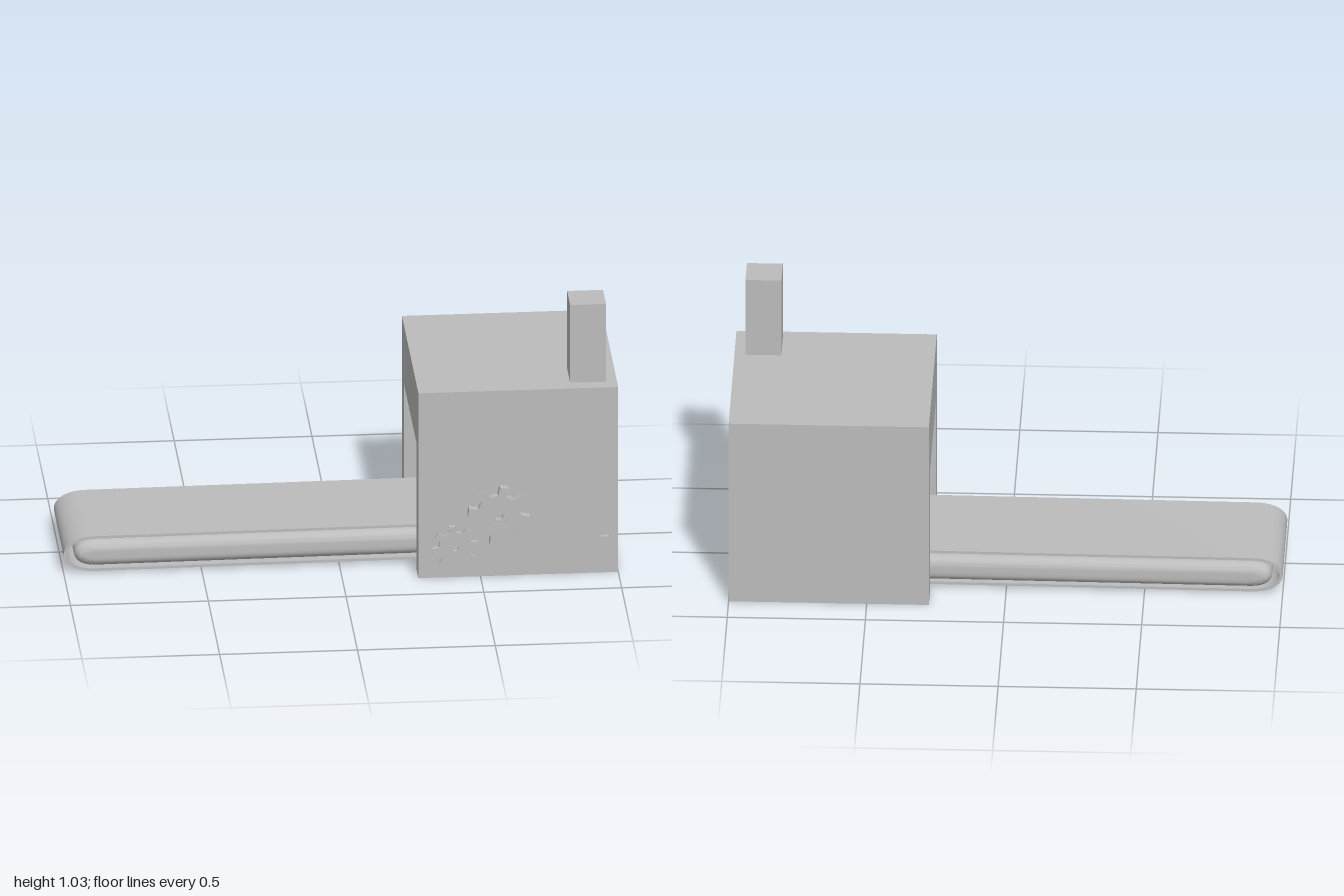
import * as THREE from 'three';
import { toCreasedNormals } from 'three/addons/utils/BufferGeometryUtils.js';

const grey = new THREE.MeshStandardMaterial({ color: 0xbcbcbc });
grey.name = 'plain grey';

function add(parent, name, geometry, x = 0, y = 0, z = 0) {
  const mesh = new THREE.Mesh(geometry, grey);
  mesh.name = name;
  mesh.position.set(x, y, z);
  parent.add(mesh);
  return mesh;
}

// box given by its lower and upper corners
function block(parent, name, a, b) {
  const size = a.map((v, i) => b[i] - v);
  const mid = a.map((v, i) => (b[i] + v) / 2);
  return add(parent, name, new THREE.BoxGeometry(...size), ...mid);
}

// long loop with elliptical ends, rising slightly towards the machine
function loopPoints(x0, x1, half, endLength) {
  const points = [];
  const n = 20;
  const tilt = x => 0.079 + 0.006 * x;
  for (let i = 0; i <= n; i++) {
    const t = Math.PI / 2 + Math.PI * i / n;
    const c = Math.abs(Math.cos(t)) ** 0.85;
    const x = x0 + endLength * (1 - c);
    points.push(new THREE.Vector2(x, tilt(x) + half * Math.sin(t)));
  }
  for (let i = 0; i <= n; i++) {
    const t = -Math.PI / 2 + Math.PI * i / n;
    const x = x1 - endLength * (1 - Math.abs(Math.cos(t)) ** 0.85);
    points.push(new THREE.Vector2(x, tilt(x) + half * Math.sin(t)));
  }
  return points;
}

function gearGeometry(outer, root, hole, teeth, depth, turn) {
  const shape = new THREE.Shape();
  const step = Math.PI * 2 / teeth;
  // each tooth: root, tip, tip, root, then the valley
  const tooth = [[-0.27, root], [-0.17, outer], [0.17, outer], [0.27, root], [0.5, root]];
  for (let i = 0; i < teeth; i++) {
    for (const [f, r] of tooth) {
      const a = turn + (i + f) * step;
      const p = [Math.cos(a) * r, Math.sin(a) * r];
      if (shape.curves.length === 0 && i === 0 && f === tooth[0][0]) shape.moveTo(...p);
      else shape.lineTo(...p);
    }
  }
  shape.closePath();
  shape.holes.push(new THREE.Path().absarc(0, 0, hole, 0, Math.PI * 2, true));
  return new THREE.ExtrudeGeometry(shape, { depth, bevelEnabled: false, curveSegments: 16 });
}

function ringGeometry(outer, inner, depth) {
  const shape = new THREE.Shape().absarc(0, 0, outer, 0, Math.PI * 2, false);
  shape.holes.push(new THREE.Path().absarc(0, 0, inner, 0, Math.PI * 2, true));
  return new THREE.ExtrudeGeometry(shape, { depth, bevelEnabled: false, curveSegments: 16 });
}

export function createModel() {
  const model = new THREE.Group();
  model.name = 'conveyorMachine';

  // housing with a shallow doorway recess on the belt side
  const housing = new THREE.Group();
  housing.name = 'housing';
  model.add(housing);
  block(housing, 'housingBody', [0.355, 0, -0.375], [1, 0.725, 0.35]);
  const arch = new THREE.Shape([
    [-0.35, 0], [-0.273, 0], [-0.273, 0.495], [0.288, 0.495],
    [0.288, 0], [0.375, 0], [0.375, 0.725], [-0.35, 0.725],
  ].map(p => new THREE.Vector2(...p)));
  const archGeometry = new THREE.ExtrudeGeometry(arch, { depth: 0.08, bevelEnabled: false });
  archGeometry.rotateY(Math.PI / 2);
  add(housing, 'doorwayFrame', archGeometry, 0.275, 0, 0);

  // chimney and front switch plate
  block(model, 'chimney', [0.83, 0.725, 0.165], [0.96, 1.03, 0.297]);
  block(model, 'switchPlate', [0.935, 0.03, 0.35], [0.965, 0.147, 0.367]);

  // belt band, hollow through the middle
  const band = new THREE.Shape(loopPoints(-1, 0.5, 0.068, 0.12));
  band.holes.push(new THREE.Path(loopPoints(-0.988, 0.488, 0.058, 0.11).reverse()));
  const bandGeometry = new THREE.ExtrudeGeometry(band, { depth: 0.435, bevelEnabled: false });
  add(model, 'belt', toCreasedNormals(bandGeometry, 0.7), 0, 0, -0.235);

  // pillow-edged bed inside the belt
  const bed = new THREE.Shape(loopPoints(-0.925, 0.43, 0.014, 0.05));
  const bedGeometry = new THREE.ExtrudeGeometry(bed, {
    depth: 0.39, bevelEnabled: true, bevelSize: 0.036, bevelThickness: 0.04, bevelSegments: 8,
  });
  add(model, 'beltBed', toCreasedNormals(bedGeometry, 0.9), 0, 0, -0.215);

  // meshing gears on the front
  const gears = new THREE.Group();
  gears.name = 'gears';
  model.add(gears);
  add(gears, 'largeGear', gearGeometry(0.113, 0.08, 0.033, 8, 0.028, 1.4), 0.565, 0.243, 0.35);
  add(gears, 'largeGearHub', ringGeometry(0.033, 0.016, 0.024), 0.565, 0.243, 0.35);
  add(gears, 'smallGear', gearGeometry(0.085, 0.06, 0.012, 8, 0.017, 0.15), 0.408, 0.12, 0.35);

  return model;
}
